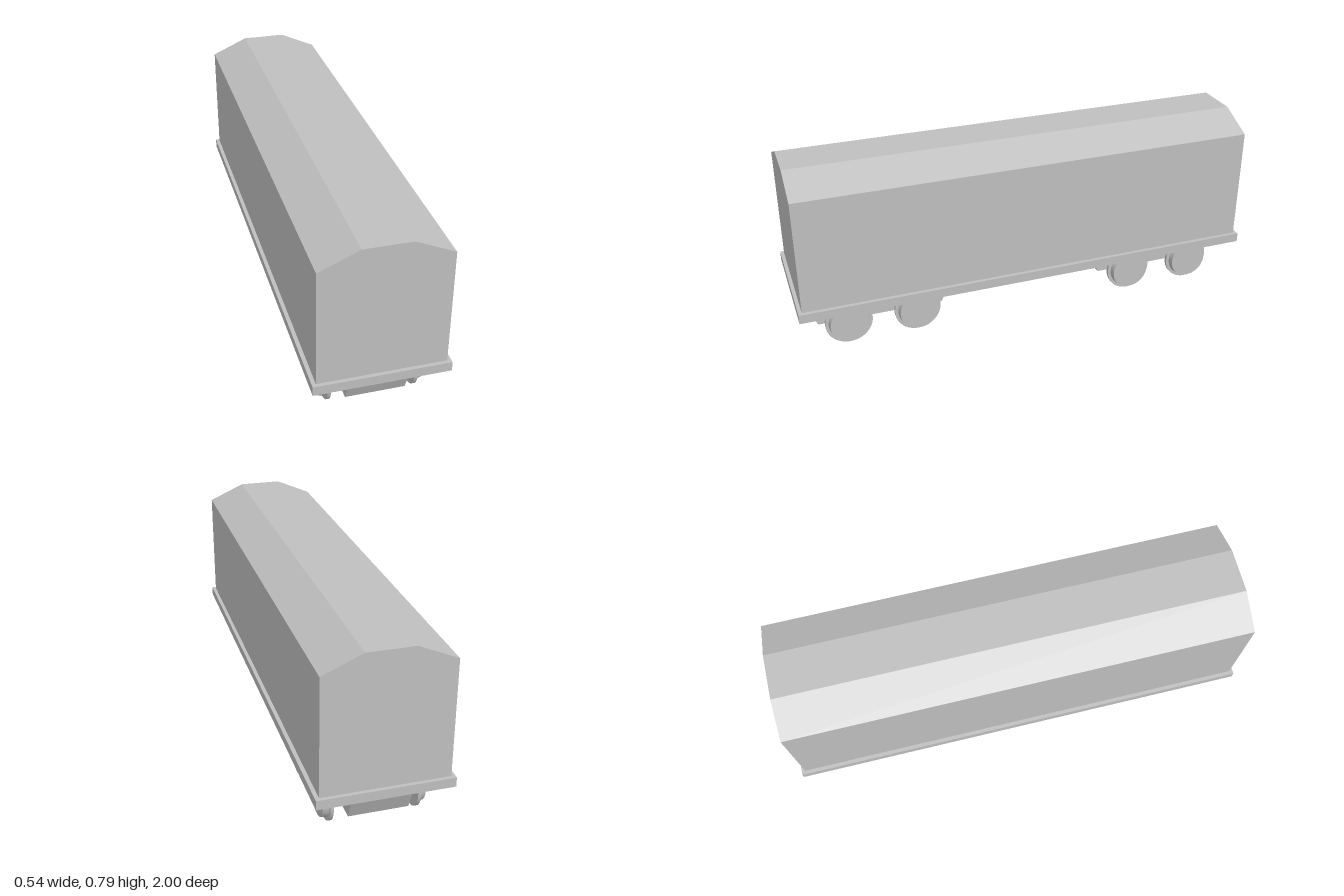
import * as THREE from 'three';

const grey = new THREE.MeshStandardMaterial({ color: 0xbfbfbf });
grey.name = 'plain grey';

function part(name, geometry, parent) {
  const mesh = new THREE.Mesh(geometry, grey);
  mesh.name = name;
  parent.add(mesh);
  return mesh;
}

// Straight prism centred on z
function prism(points, depth) {
  const shape = new THREE.Shape(points.map(([x, y]) => new THREE.Vector2(x, y)));
  return new THREE.ExtrudeGeometry(shape, { depth, bevelEnabled: false }).translate(0, 0, -depth / 2);
}

// Cylinder along x, from x0 to x1
function xCylinder(r0, r1, x0, x1) {
  return new THREE.CylinderGeometry(r1, r0, x1 - x0, 40)
    .rotateZ(-Math.PI / 2)
    .translate((x0 + x1) / 2, 0, 0);
}

// Axle with a flanged wheel at each end
function createWheelset() {
  const set = new THREE.Group();
  set.name = 'wheelset';
  part('axle', xCylinder(0.025, 0.025, -0.17, 0.17), set);
  for (const side of [1, -1]) {
    const wheel = new THREE.Group();
    wheel.name = side > 0 ? 'leftWheel' : 'rightWheel';
    part('flange', xCylinder(0.1, 0.1, 0.168, 0.181), wheel);
    part('tread', xCylinder(0.086, 0.082, 0.181, 0.206), wheel);
    wheel.rotation.y = side > 0 ? 0 : Math.PI;
    set.add(wheel);
  }
  return set;
}

// Tapered truck frame carrying two wheelsets
function createBogie() {
  const bogie = new THREE.Group();
  const frame = prism([[-0.27, 0.072], [0.27, 0.072], [0.32, 0.19], [-0.32, 0.19]], 0.24);
  part('bogieFrame', frame.rotateY(Math.PI / 2), bogie);
  for (const z of [-0.148, 0.148]) {
    const set = createWheelset();
    set.position.set(0, 0.1, z);
    bogie.add(set);
  }
  return bogie;
}

export function createModel() {
  const model = new THREE.Group();
  model.name = 'boxcar';

  // Closed body with a three-sided roof
  part('body', prism([
    [-0.254, 0.23], [0.254, 0.23], [0.254, 0.72],
    [0.095, 0.79], [-0.095, 0.79], [-0.254, 0.72],
  ], 1.97), model);

  part('deck', new THREE.BoxGeometry(0.54, 0.04, 2).translate(0, 0.211, 0), model);

  for (const end of [1, -1]) {
    const bogie = createBogie();
    bogie.name = end > 0 ? 'frontBogie' : 'rearBogie';
    bogie.position.z = end * 0.642;
    model.add(bogie);
  }
  return model;
}
